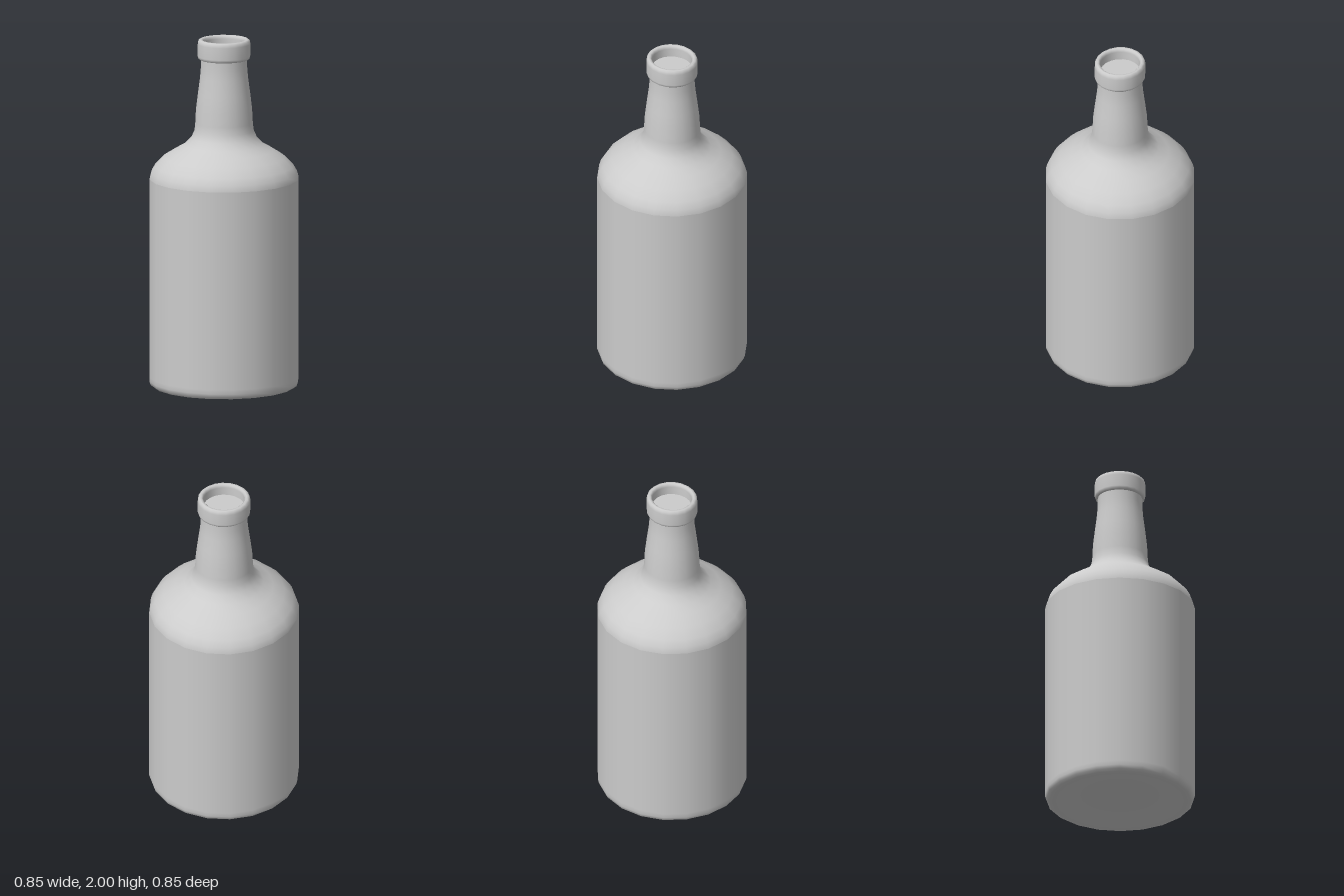
import * as THREE from 'three';

const SIDES = 20;
const material = new THREE.MeshStandardMaterial({ color: 0xcccccc });

// The neck is slightly narrower front to back than side to side
function depthScale(y) {
  return 1 - 0.047 * THREE.MathUtils.smoothstep(y, 1.32, 1.46);
}

// Turns a [radius, height] profile, listed from the underside up
function turned(name, profile) {
  const points = profile.map(([r, y]) => new THREE.Vector2(r, y));
  const geometry = new THREE.LatheGeometry(points, SIDES);
  const pos = geometry.attributes.position;
  for (let i = 0; i < pos.count; i++) {
    pos.setZ(i, pos.getZ(i) * depthScale(pos.getY(i)));
  }
  const mesh = new THREE.Mesh(geometry, material);
  mesh.name = name;
  return mesh;
}

export function createModel() {
  const bottle = new THREE.Group();
  bottle.name = 'bottle';

  // Hollowed base, rounded foot and straight wall
  bottle.add(turned('body', [
    [0, 0.06], [0.1, 0.056], [0.2, 0.044], [0.29, 0.024], [0.35, 0.005],
    [0.38, 0], [0.403, 0.003], [0.418, 0.014], [0.425, 0.035],
    [0.425, 0.06], [0.425, 1.17], [0.425, 1.2],
  ]));

  // Rounded shoulder sweeping into the tapered neck
  bottle.add(turned('shoulderAndNeck', [
    [0.425, 1.17], [0.425, 1.2], [0.415, 1.235], [0.393, 1.272], [0.345, 1.322],
    [0.28, 1.363], [0.225, 1.395], [0.187, 1.434], [0.169, 1.475],
    [0.164, 1.52], [0.16, 1.6], [0.149, 1.69], [0.137, 1.78],
    [0.132, 1.84], [0.132, 1.9],
  ]));

  // Rounded lip with a shallow closed mouth
  bottle.add(turned('lip', [
    [0.125, 1.887], [0.14, 1.887], [0.147, 1.893], [0.15, 1.905], [0.15, 1.975],
    [0.147, 1.992], [0.138, 2], [0.127, 2], [0.119, 1.993],
    [0.117, 1.98], [0.117, 1.92],
  ]));
  bottle.add(turned('mouthFloor', [[0.118, 1.93], [0, 1.93]]));

  return bottle;
}
